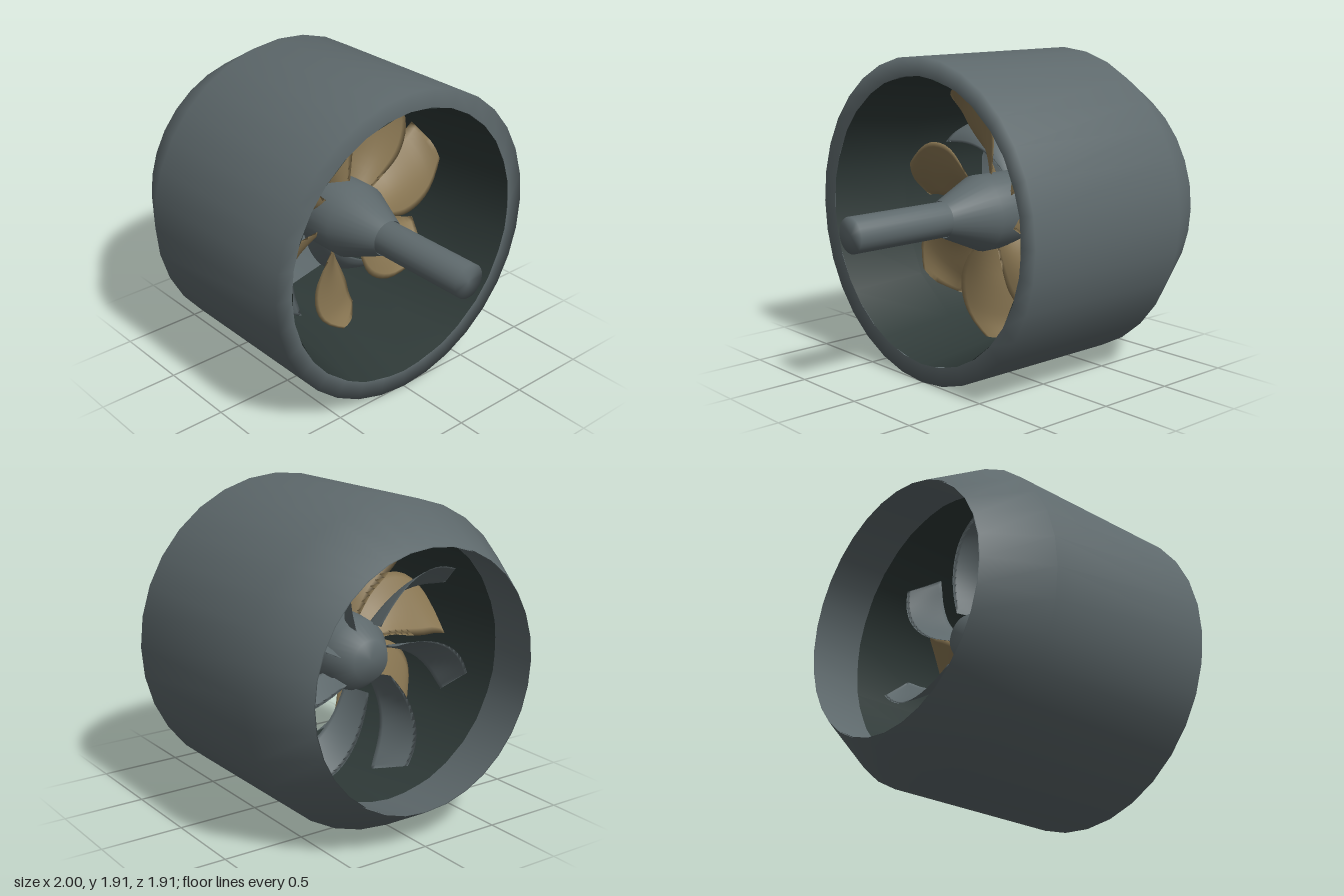
import * as THREE from 'three';

const material = (name, color) => {
  const m = new THREE.MeshStandardMaterial({ color, side: THREE.DoubleSide });
  m.name = name;
  return m;
};

export function createModel() {
  const steel = material('blue grey steel', 0x5e696c);
  const dark = material('dark liner', 0x2f3a38);
  const bronze = material('bronze', 0x8a7753);

  const model = new THREE.Group();
  model.name = 'ductedPropeller';
  const R = 0.956;

  // Everything turns around the x axis at height R
  const part = (name) => {
    const g = new THREE.Group();
    g.name = name;
    g.position.y = R;
    model.add(g);
    return g;
  };
  const add = (parent, name, geometry, mat) => {
    const mesh = new THREE.Mesh(geometry, mat);
    mesh.name = name;
    parent.add(mesh);
    return mesh;
  };

  // Smooth surface of revolution from [x, radius] points
  const revolve = (parent, name, points, mat, sides = 32) => {
    const profile = points.map(([x, r]) => new THREE.Vector2(r, x));
    const geometry = new THREE.LatheGeometry(profile, sides);
    geometry.rotateZ(-Math.PI / 2);
    return add(parent, name, geometry, mat);
  };

  // Duct: outer shell with tapered nozzle and front rim, faceted liner, nozzle throat
  const duct = part('duct');
  revolve(duct, 'outerShell', [[-1, 0.75], [-0.645, R], [0.51, R], [0.51, 0.845]], steel);
  const liner = revolve(duct, 'liner', [[-0.66, 0.805], [0, 0.805], [0.51, 0.86]], dark, 14);
  liner.rotation.x = Math.PI / 2;
  revolve(duct, 'throat', [[-1, 0.745], [-0.66, 0.79]], steel);

  // Hub and shaft
  const core = part('core');
  revolve(core, 'hub', [[-0.48, 0], [-0.48, 0.12], [-0.35, 0.21], [-0.2, 0.23],
    [0.07, 0.23], [0.35, 0.11]], steel);
  revolve(core, 'shaft', [[0.3, 0.105], [1, 0.105], [1, 0]], steel, 24);

  // Blade skinned over closed cross-sections, from leading to trailing angle at each radius
  const bladeGeometry = (radii, lead, trail, xLead, xTrail, thickness) => {
    const steps = 10, ring = steps * 2, rows = 14;
    const positions = [], index = [];
    const [leadCurve, trailCurve] = [lead, trail].map((angles) =>
      new THREE.SplineCurve(angles.map((a, i) => new THREE.Vector2(radii[i], a))));
    for (let i = 0; i <= rows; i++) {
      const a = leadCurve.getPoint(i / rows), b = trailCurve.getPoint(i / rows);
      for (let j = 0; j < ring; j++) {
        const u = j <= steps ? j / steps : 2 - j / steps;
        const bulge = Math.sin(Math.PI * u);
        const half = bulge * thickness * (j < steps ? 0.5 : -0.5);
        const t = THREE.MathUtils.degToRad(a.y + (b.y - a.y) * u);
        positions.push(xLead + (xTrail - xLead) * u + half + bulge * 0.02,
          a.x * Math.sin(t), -a.x * Math.cos(t));
        if (i < rows) {
          const p = i * ring + j, q = i * ring + (j + 1) % ring;
          index.push(p, q, p + ring, q, q + ring, p + ring);
        }
      }
    }
    // Tip cap
    const tip = rows * ring;
    for (let j = 1; j < ring - 1; j++) index.push(tip, tip + j, tip + j + 1);
    const g = new THREE.BufferGeometry();
    g.setAttribute('position', new THREE.Float32BufferAttribute(positions, 3));
    g.setIndex(index);
    g.computeVertexNormals();
    return g;
  };

  const rotorBlade = bladeGeometry([0.2, 0.35, 0.48, 0.6, 0.7, 0.79],
    [238, 238, 239, 245, 254, 268], [278, 278, 282, 284, 284, 285], -0.02, -0.2, 0.03);
  const statorVane = bladeGeometry([0.2, 0.35, 0.49, 0.62, 0.71, 0.78],
    [64, 69, 74, 80, 86, 93], [78, 83, 89, 96, 101, 104], -0.46, -0.28, 0.03);

  // Seven rotor blades and seven fixed vanes
  const rotor = part('rotor');
  const stator = part('stator');
  for (let i = 0; i < 7; i++) {
    const turn = (i * Math.PI * 2) / 7;
    add(rotor, 'rotorBlade', rotorBlade, bronze).rotation.x = turn;
    add(stator, 'statorVane', statorVane, steel).rotation.x = turn;
  }
  return model;
}
